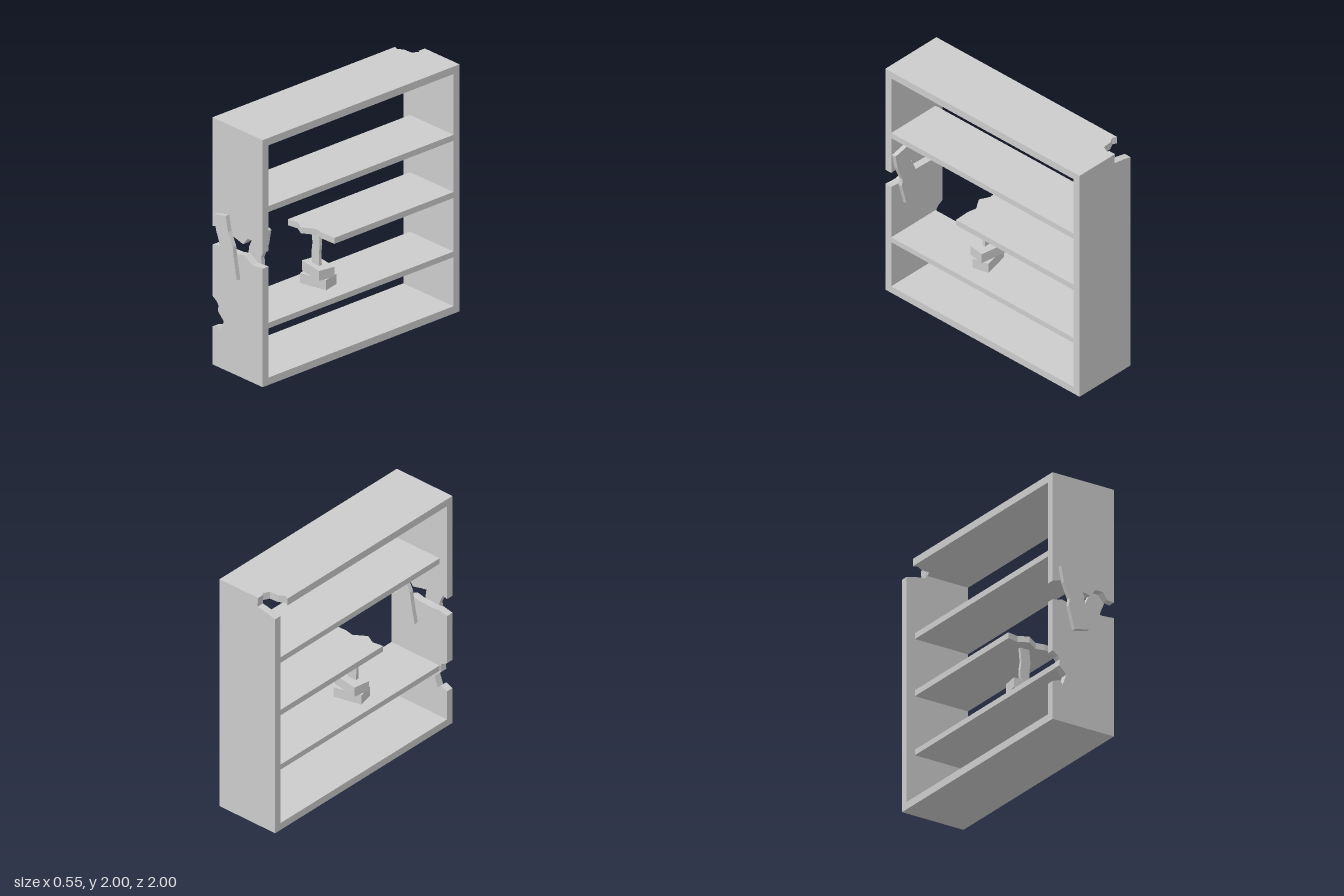
import * as THREE from 'three';

const material = new THREE.MeshStandardMaterial({ color: 0xcccccc, flatShading: true });
const W = 0.273;          // half width of the case
const SHELF_BACK = -0.2;  // shelves are set in on the -x side
const Z_BACK = -0.94, Z_FRONT = 0.905; // inner faces of the uprights

export function createModel() {
  const group = new THREE.Group();

  const add = (name, geometry) => {
    const mesh = new THREE.Mesh(geometry, material);
    mesh.name = name;
    group.add(mesh);
    return mesh;
  };

  const extrude = (points, depth) => new THREE.ExtrudeGeometry(
    new THREE.Shape(points.map(([x, y]) => new THREE.Vector2(x, y))),
    { depth, bevelEnabled: false });

  // Upright board: outline in x, y between two z values
  const upright = (name, points, z0, z1) =>
    add(name, extrude(points, z1 - z0).translate(0, 0, z0));

  // Flat board: outline in x, z between two heights
  const flat = (name, points, y0, y1) =>
    add(name, extrude(points.map(([x, z]) => [x, -z]), y1 - y0)
      .rotateX(-Math.PI / 2).translate(0, y0, 0));

  // Back upright with its top corner broken off
  upright('backUpright', [
    [-W, 0], [W, 0], [W, 2], [-0.105, 2], [-0.1, 1.92], [-0.19, 1.905], [-W, 1.885],
  ], -1, Z_BACK);

  // Front upright, snapped into two pieces
  upright('frontUprightLower', [
    [-W, 0], [W, 0], [W, 0.96], [0.16, 0.95], [0.07, 1.0], [0, 0.985],
    [-0.15, 0.98], [-0.185, 0.99], [-W, 0.97],
    // bite in the edge
    [-W, 0.555], [-0.225, 0.525], [-0.208, 0.5], [-0.213, 0.45], [-0.15, 0.39],
    [-0.182, 0.302], [-0.213, 0.33], [-W, 0.307],
  ], Z_FRONT, 0.965);
  upright('frontUprightUpper', [
    [-W, 1.12], [-0.2, 1.14], [-0.1, 1.12], [-0.02, 1.105], [0.06, 1.085],
    [0.11, 1.145], [0.175, 1.145], [0.215, 1.09], [W, 1.085], [W, 2], [-W, 2],
  ], Z_FRONT, 0.965);

  // Top with chipped corner, and bottom
  flat('top', [
    [-0.095, Z_BACK], [W, Z_BACK], [W, Z_FRONT], [-W, Z_FRONT], [-W, -0.86],
    [-0.24, -0.845], [-0.19, -0.875], [-0.115, -0.88], [-0.09, -0.93],
  ], 1.94, 2);
  flat('bottom', [[-W, Z_BACK], [W, Z_BACK], [W, Z_FRONT], [-W, Z_FRONT]], 0, 0.06);

  // Whole shelves
  for (const [y0, y1] of [[0.458, 0.503], [1.4, 1.448]]) {
    flat('shelf', [[SHELF_BACK, Z_BACK], [W, Z_BACK], [W, Z_FRONT], [SHELF_BACK, Z_FRONT]], y0, y1);
  }

  // Middle shelf with its jagged end
  flat('brokenShelf', [
    [SHELF_BACK, Z_BACK], [W, Z_BACK], [W, 0.25], [0.14, 0.255], [0.07, 0.24],
    [-0.03, 0.305], [-0.11, 0.265], [SHELF_BACK, 0.28],
  ], 0.937, 0.985);

  // Crooked planks patching the break, one outside and one turned round inside
  const plank = [
    [-0.22, 1.245], [-0.195, 1.12], [-0.145, 1.0], [-0.15, 0.94], [-0.1, 0.76],
    [0.03, 0.79], [-0.005, 0.97], [-0.015, 1.05], [-0.065, 1.15], [-0.09, 1.275],
  ];
  upright('outerPlank', plank, 0.965, 1);
  upright('innerPlank', plank.map(([x, y]) => [0.045 - x, y]), 0.87, Z_FRONT);

  // Prop under the broken shelf: two blocks and a crooked stick
  const block = (name, y0, y1, length, depth, turn) => {
    const mesh = add(name, new THREE.BoxGeometry(length, y1 - y0, depth));
    mesh.position.set(0.012, (y0 + y1) / 2, 0.171);
    mesh.rotation.y = turn;
  };
  block('lowerBlock', 0.503, 0.585, 0.23, 0.134, 0.24);
  block('upperBlock', 0.585, 0.665, 0.228, 0.137, -0.155);
  upright('propStick', [
    [-0.03, 0.665], [0.05, 0.665], [0.045, 0.76], [0.055, 0.83], [0.045, 0.937],
    [-0.035, 0.937], [-0.025, 0.83], [-0.035, 0.76],
  ], 0.17, 0.195);

  return group;
}
